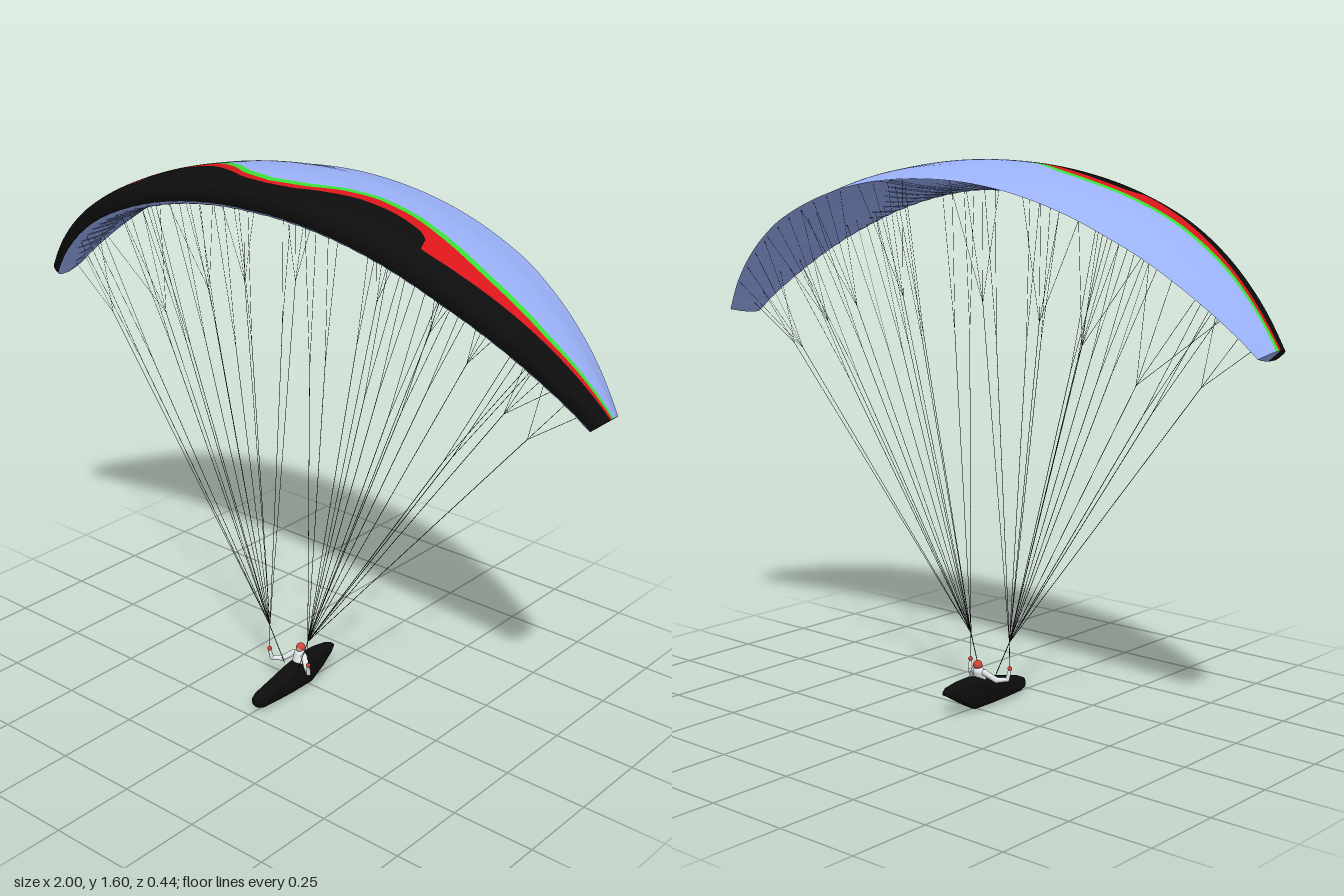
import * as THREE from 'three';
import { mergeGeometries } from 'three/addons/utils/BufferGeometryUtils.js';

const mat = (color) => new THREE.MeshStandardMaterial({ color, side: THREE.DoubleSide });
const BLACK = mat(0x0d0d0d), RED = mat(0xdc161b), GREEN = mat(0x3ae035), BLUE = mat(0x9ab1f8);
const LINE = mat(0x111111), WHITE = mat(0xe0e8e8), HELMET = mat(0xd0443c), SKIN = mat(0xd8907c);
const V = (x, y, z) => new THREE.Vector3(x, y, z);

// Monotone cubic through [x, y] points
function curve(pts) {
  const n = pts.length;
  const slope = (i) => (pts[i + 1][1] - pts[i][1]) / (pts[i + 1][0] - pts[i][0]);
  const tan = pts.map((_, i) => {
    if (i === 0) return slope(0);
    if (i === n - 1) return slope(n - 2);
    const a = slope(i - 1), b = slope(i);
    return a * b <= 0 ? 0 : (2 * a * b) / (a + b);
  });
  return (x) => {
    let i = 0;
    while (i < n - 2 && x > pts[i + 1][0]) i++;
    const h = pts[i + 1][0] - pts[i][0];
    const t = THREE.MathUtils.clamp((x - pts[i][0]) / h, 0, 1), t2 = t * t, t3 = t2 * t;
    return (2 * t3 - 3 * t2 + 1) * pts[i][1] + (t3 - 2 * t2 + t) * h * tan[i]
      + (3 * t2 - 2 * t3) * pts[i + 1][1] + (t3 - t2) * h * tan[i + 1];
  };
}

// Canopy shape: arc, planform, and section by q (q > 0 upper skin, q < 0 lower, q² = chord fraction)
const R = 1.318, CY = 0.284, HALF = 0.862, SPAN = 240, CELLS = 40;
const front = curve([[0, 0.217], [0.3, 0.209], [0.6, 0.188], [0.7, 0.167], [0.8, 0.137], [0.9, 0.099], [1, 0.052]]);
const rear = curve([[0, -0.225], [0.3, -0.217], [0.6, -0.195], [0.7, -0.173], [0.8, -0.145], [0.9, -0.108], [1, -0.06]]);
const section = curve([[-1, -0.05], [-0.8, -0.072], [-0.55, -0.085], [-0.3, -0.085], [-0.15, -0.079], [0, -0.055],
  [0.1, -0.034], [0.2, -0.021], [0.35, -0.01], [0.5, -0.002], [0.6, 0], [0.8, -0.012], [1, -0.05]]);
const thickness = curve([[0, 1], [0.5, 0.95], [0.8, 0.8], [1, 0.56]]);

// Colour borders on the upper skin, as z over span
const blackEdge = curve([[0, 0.157], [0.08, 0.148], [0.16, 0.118], [0.27, 0.077], [0.36, 0.066], [0.44, 0.074],
  [0.485, 0.1], [0.495, 0.135], [0.6, 0.122], [0.7, 0.1], [0.8, 0.073], [0.9, 0.043], [1, 0.012]]);
const redEdge = curve([[0, 0.142], [0.1, 0.122], [0.2, 0.07], [0.3, 0.036], [0.38, 0.032], [0.5, 0.046],
  [0.65, 0.062], [0.8, 0.052], [0.9, 0.029], [1, 0.004]]);
const greenEdge = curve([[0, 0.122], [0.1, 0.1], [0.2, 0.048], [0.3, 0.014], [0.38, 0.01], [0.5, 0.024],
  [0.65, 0.042], [0.8, 0.035], [0.9, 0.017], [1, -0.006]]);

const spanOf = (a) => Math.min(1, Math.abs(Math.sin(a)) / Math.sin(HALF));
function wingPoint(a, q) {
  const X = spanOf(a), f = front(X), r = rear(X);
  // Arc a little flatter than a circle in the middle
  let d = section(q) * thickness(X) + 0.05 * X * X * (1 - X * X);
  // Slight billow of the cells on the underside
  if (q < 0) d -= 0.003 * Math.sin(Math.PI * -q) * Math.abs(Math.sin((a / HALF + 1) * Math.PI * CELLS / 2));
  return V((R + d) * Math.sin(a), CY + (R + d) * Math.cos(a), f + (r - f) * q * q);
}
const qOf = (edge) => (X) => Math.sqrt(THREE.MathUtils.clamp((front(X) - edge(X)) / (front(X) - rear(X)), 0, 1));

// Regular grid of points from fn(u, v)
function grid(fn, nu, nv) {
  const pos = [], idx = [];
  for (let i = 0; i <= nu; i++) for (let j = 0; j <= nv; j++) pos.push(...fn(i / nu, j / nv).toArray());
  for (let i = 0; i < nu; i++) for (let j = 0; j < nv; j++) {
    const a = i * (nv + 1) + j, b = a + nv + 1;
    idx.push(a, b, a + 1, b, b + 1, a + 1);
  }
  const g = new THREE.BufferGeometry();
  g.setAttribute('position', new THREE.Float32BufferAttribute(pos, 3));
  g.setIndex(idx);
  g.computeVertexNormals();
  return g;
}

function add(parent, name, geometry, material) {
  const m = new THREE.Mesh(geometry, material);
  m.name = name;
  parent.add(m);
  return m;
}

// Straight rod between two points
function rod(a, b, r0, r1 = r0, sides = 4) {
  const dir = b.clone().sub(a);
  const g = new THREE.CylinderGeometry(r1, r0, dir.length(), sides);
  g.applyQuaternion(new THREE.Quaternion().setFromUnitVectors(V(0, 1, 0), dir.normalize()));
  const c = a.clone().add(b).multiplyScalar(0.5);
  return g.translate(c.x, c.y, c.z);
}

function buildCanopy() {
  const canopy = new THREE.Group();
  canopy.name = 'canopy';
  const k = (v) => () => v;
  const strip = (name, q0, q1, n, material) => add(canopy, name, grid((u, v) => {
    const a = (u * 2 - 1) * HALF, X = spanOf(a);
    return wingPoint(a, THREE.MathUtils.lerp(q0(X), q1(X), v));
  }, SPAN, n), material);
  strip('underside', k(-1), k(-0.1), 14, BLUE);
  strip('leadingEdge', k(-0.1), qOf(blackEdge), 16, BLACK);
  strip('redBand', qOf(blackEdge), qOf(redEdge), 5, RED);
  strip('greenStripe', qOf(redEdge), qOf(greenEdge), 2, GREEN);
  strip('upperSkin', qOf(greenEdge), k(1), 14, BLUE);
  // Closed wing tips, dark in front
  for (const s of [1, -1]) for (const [name, q0, q1, m] of [['tipFront', 0, 0.6, BLACK], ['tipRear', 0.6, 1, BLUE]]) {
    add(canopy, name, grid((u, v) => {
      const q = q0 + (q1 - q0) * u, w = s > 0 ? v : 1 - v;
      return wingPoint(s * HALF, -q).lerp(wingPoint(s * HALF, q), w);
    }, 8, 1), m);
  }
  return canopy;
}

// Suspension lines: a main line per row and station, forking near the canopy
function buildLines() {
  const geos = [];
  for (const s of [1, -1]) {
    const riser = V(s * 0.075, 0.2, 0.072);
    const at = (X, c) => wingPoint(s * Math.asin(Math.min(X, 0.98) * Math.sin(HALF)), -Math.sqrt(c));
    const cascade = (X, c, fork, spread, r) => {
      const knot = riser.clone().lerp(at(X, c), fork);
      geos.push(rod(riser, knot, r));
      for (const d of spread) geos.push(rod(knot, at(X + d, c), r * 0.7));
    };
    const rows = [[0.11, [0.175, 0.46, 0.58, 0.82]], [0.33, [0.175, 0.46, 0.58, 0.82]], [0.78, [0.175, 0.56]]];
    for (const [c, stations] of rows) for (const X of stations) cascade(X, c, 0.68, [-0.02, 0.02], 0.001);
    // Brake fans to the trailing edge, and the tip line
    for (const X of [0.18, 0.44, 0.62, 0.82]) cascade(X, 0.95, 0.76, [-0.09, -0.03, 0.03, 0.09], 0.0009);
    cascade(0.93, 0.45, 0.84, [-0.08, 0, 0.04], 0.0009);
    // Riser strap and brake line
    geos.push(rod(riser, V(s * 0.028, 0.085, 0.06), 0.0012));
    geos.push(rod(riser, V(s * 0.077, 0.12, 0.072), 0.0012));
  }
  return mergeGeometries(geos);
}

function buildPilot() {
  const pilot = new THREE.Group();
  pilot.name = 'pilot';
  // Pod harness lofted along z: [z, bottom, top, half width]
  const rings = [[0.218, 0.028, 0.03, 0.001], [0.218, 0.014, 0.046, 0.017], [0.2, 0.008, 0.054, 0.022],
    [0.13, 0.004, 0.07, 0.026], [0.07, 0.002, 0.084, 0.029], [-0.01, 0.002, 0.098, 0.03],
    [-0.06, 0.03, 0.096, 0.027], [-0.11, 0.06, 0.089, 0.018], [-0.13, 0.07, 0.081, 0.008], [-0.131, 0.075, 0.076, 0.001]];
  const pow = (t) => Math.sign(t) * Math.abs(t) ** 0.65;
  add(pilot, 'podHarness', grid((u, v) => {
    const [z, lo, hi, w] = rings[Math.round(u * (rings.length - 1))], a = v * Math.PI * 2;
    return V(w * pow(Math.cos(a)), (lo + hi) / 2 + (hi - lo) / 2 * pow(Math.sin(a)), z);
  }, rings.length - 1, 20), BLACK);

  // Torso, head and helmet
  const torso = add(pilot, 'torso', new THREE.CapsuleGeometry(0.016, 0.03, 6, 14), WHITE);
  torso.scale.set(1.25, 1, 0.95);
  torso.position.set(0, 0.094, 0.026);
  torso.rotation.x = -0.3;
  add(pilot, 'face', new THREE.SphereGeometry(0.0115, 16, 12), SKIN).position.set(0, 0.127, 0.021);
  const helmet = add(pilot, 'helmet', new THREE.SphereGeometry(0.014, 18, 12, 0, Math.PI * 2, 0, Math.PI * 0.62), HELMET);
  helmet.position.set(0, 0.13, 0.017);
  helmet.rotation.x = -0.4;

  // Arms reaching out to the brake handles
  for (const s of [1, -1]) {
    const shoulder = V(s * 0.02, 0.108, 0.025), elbow = V(s * 0.048, 0.086, 0.045);
    const wrist = V(s * 0.073, 0.088, 0.066), hand = V(s * 0.077, 0.116, 0.072);
    const joint = (p, r) => new THREE.SphereGeometry(r, 10, 8).translate(p.x, p.y, p.z);
    add(pilot, 'arm', mergeGeometries([rod(shoulder, elbow, 0.0095, 0.0085, 10), rod(elbow, wrist, 0.0085, 0.0065, 10),
      rod(wrist, hand, 0.0065, 0.005, 10), joint(shoulder, 0.01), joint(elbow, 0.0086), joint(wrist, 0.0066)]), WHITE);
    add(pilot, 'glove', joint(hand.clone().setY(0.121), 0.007), HELMET);
  }
  return pilot;
}

export function createModel() {
  const model = new THREE.Group();
  model.name = 'paraglider';
  model.add(buildCanopy(), buildPilot());
  add(model, 'suspensionLines', buildLines(), LINE);
  return model;
}
